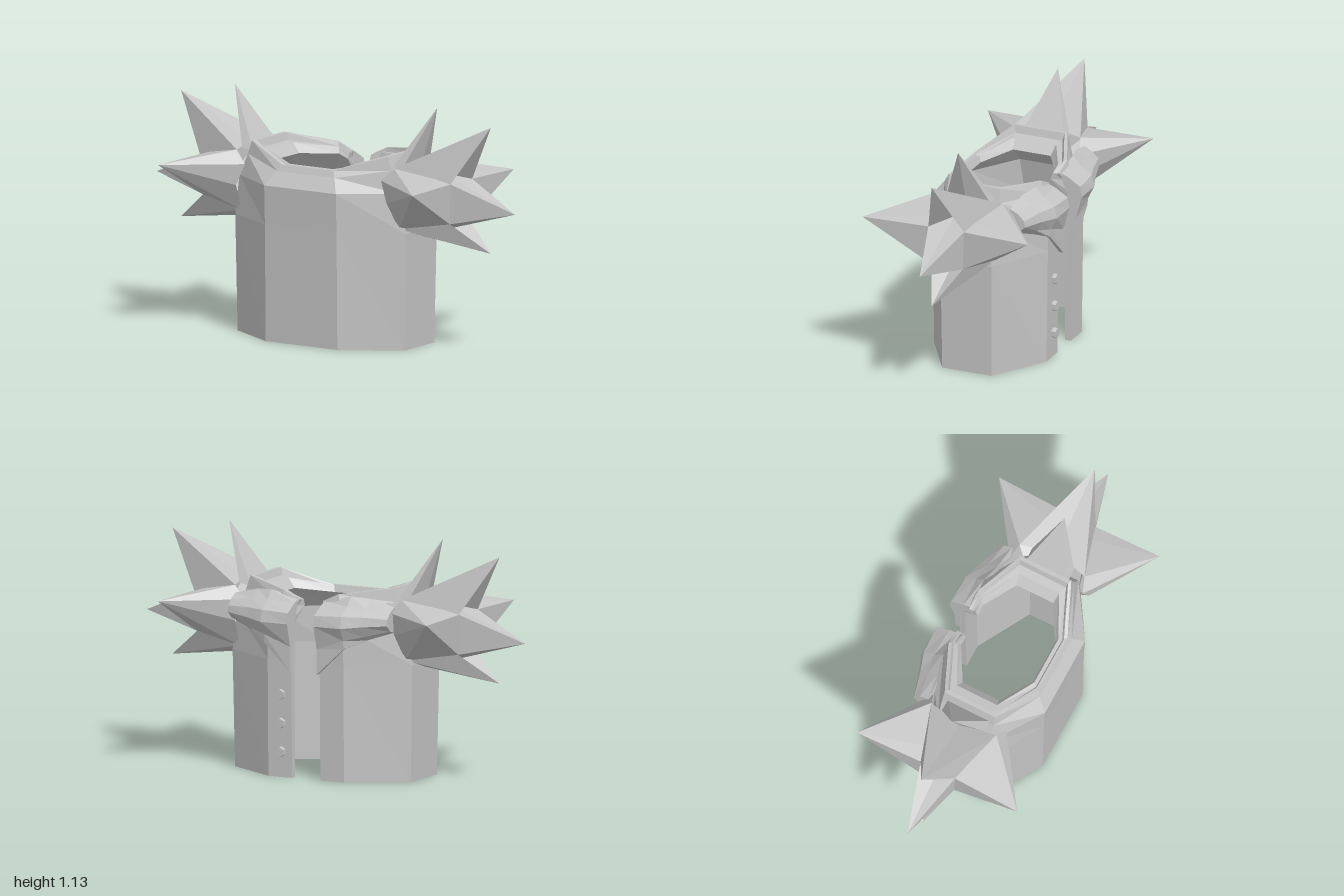
import * as THREE from 'three';

const metal = new THREE.MeshStandardMaterial({ color: 0xc4c4c4, flatShading: true, side: THREE.DoubleSide });
metal.name = 'plain grey';

function meshFrom(tris, name) {
  const g = new THREE.BufferGeometry();
  g.setAttribute('position', new THREE.Float32BufferAttribute(tris.flat(2), 3));
  g.computeVertexNormals();
  const m = new THREE.Mesh(g, metal);
  m.name = name;
  return m;
}

// Skin between cross-sections; each section is a closed loop of points
function loft(sections) {
  const tris = [];
  for (let i = 0; i < sections.length - 1; i++) {
    const p = sections[i], q = sections[i + 1], n = p.length;
    for (let j = 0; j < n; j++) {
      const k = (j + 1) % n;
      tris.push([p[j], p[k], q[k]], [p[j], q[k], q[j]]);
    }
  }
  return tris;
}

// Cap joining the two sides of a folded section
function foldCap(p, flip) {
  const tris = [], n = p.length;
  for (let i = 0; i < Math.floor(n / 2); i++) {
    const a = p[i], b = p[i + 1], c = p[n - 2 - i], d = p[n - 1 - i];
    tris.push([a, b, c], [a, c, d]);
  }
  return flip ? tris.map(([a, b, c]) => [a, c, b]) : tris;
}

// Pyramid sides from a tip to a base loop, wound to face outward
function spike(tip, loop, name) {
  const all = [tip, ...loop].map(p => new THREE.Vector3(...p));
  const mid = all.reduce((s, p) => s.add(p), new THREE.Vector3()).divideScalar(all.length);
  const tris = loop.map((a, i) => {
    const t = [tip, a, loop[(i + 1) % loop.length]];
    const [A, B, C] = t.map(p => new THREE.Vector3(...p));
    const out = B.clone().sub(A).cross(C.clone().sub(A)).dot(B.add(C).multiplyScalar(.5).sub(mid));
    return out < 0 ? [t[0], t[2], t[1]] : t;
  });
  return meshFrom(tris, name);
}

// Shell levels, up the outside, over the collar and down the inside:
// side x, side z, front half width, front z, then y at front, side, back corner, back gap
const LEVELS = [
  [.465, .125, .2, .285, 0, 0, 0, 0],
  [.475, .13, .2, .292, .55, .55, .55, .55],
  [.45, .132, .2, .298, .735, .735, .735, .735],
  [.4, .135, .16, .25, .8, .84, .82, .8],
  [.38, .132, .145, .235, .83, .905, .87, .835],
  [.36, .125, .135, .222, .83, .905, .87, .835],
  [.35, .12, .13, .215, .815, .87, .85, .82],
  [.31, .105, .12, .2, .83, .865, .85, .83],
  [.27, .095, .11, .188, .8, .82, .82, .8],
  [.4, .12, .18, .262, .72, .72, .72, .72],
  [.445, .115, .185, .262, .55, .55, .55, .55],
  [.435, .115, .185, .255, 0, 0, 0, 0],
];

function breastplate() {
  const half = s => [
    LEVELS.map(([, , , zf, , , , yg], i) => [s * (i > 3 && i < 9 ? .06 : .075), yg, -zf]),
    LEVELS.map(([, , xf, zf, , , yb]) => [s * xf, yb, -zf]),
    LEVELS.map(([xs, zs, , , , ys]) => [s * xs, ys, -zs]),
    LEVELS.map(([xs, zs, , , , ys]) => [s * xs, ys, zs]),
    LEVELS.map(([, , xf, zf, yf]) => [s * xf, yf, zf]),
  ];
  const sections = [...half(1), ...half(-1).reverse()];
  const tris = loft(sections);
  tris.push(...foldCap(sections[0], true), ...foldCap(sections[9], false));
  return meshFrom(tris, 'breastplate');
}

// Raised plate over the back of each shoulder, [y, z] sections from gap to arm
function backYoke(s) {
  const rows = [
    [.07, [[.5, -.312], [.62, -.313], [.73, -.343], [.78, -.335], [.82, -.27], [.835, -.23], [.74, -.285], [.5, -.285]]],
    [.21, [[.63, -.308], [.67, -.313], [.73, -.343], [.785, -.33], [.825, -.275], [.868, -.235], [.76, -.27], [.63, -.28]]],
    [.3, [[.67, -.25], [.69, -.28], [.74, -.31], [.785, -.3], [.82, -.26], [.86, -.21], [.77, -.21], [.67, -.22]]],
    [.42, [[.71, -.2], [.72, -.24], [.75, -.275], [.78, -.27], [.81, -.24], [.83, -.2], [.78, -.18], [.71, -.17]]],
  ];
  const sections = rows.map(([x, pts]) => pts.map(([y, z]) => [s * x, y, z]));
  if (s < 0) sections.reverse();
  const tris = loft(sections);
  tris.push(...foldCap(sections[0], true), ...foldCap(sections[3], false));
  return meshFrom(tris, s > 0 ? 'leftBackYoke' : 'rightBackYoke');
}

// Star of spikes on a shoulder, sharing the valley points between them
function shoulderSpikes(s) {
  const g = new THREE.Group();
  g.name = s > 0 ? 'leftShoulderSpikes' : 'rightShoulderSpikes';
  const P = (x, y, z) => [s * x, y, z];
  const upper = P(.6, .83, 0), lower = P(.66, .58, 0);
  const top = P(.48, .87, 0), bottom = P(.43, .53, 0);
  const a = k => P(.7, .8, .09 * k), b = k => P(.69, .61, .08 * k);
  const c = k => P(.44, .86, .17 * k), d = k => P(.44, .57, .13 * k);
  g.add(spike(P(1, .675, 0), [upper, a(1), b(1), lower, b(-1), a(-1)], 'outerSpike'));
  g.add(spike(P(.865, 1.07, 0), [upper, a(1), c(1), top, c(-1), a(-1)], 'upperSpike'));
  g.add(spike(P(.865, .477, 0), [lower, b(1), d(1), bottom, d(-1), b(-1)], 'lowerSpike'));
  for (const k of [1, -1]) {
    g.add(spike(P(.71, .797, .42 * k),
      [upper, c(k), P(.38, .8, .19 * k), P(.42, .7, .205 * k), d(k), b(k), a(k)], k > 0 ? 'frontSpike' : 'backSpike'));
  }
  g.add(spike(P(.565, 1.132, 0), [top, P(.45, .86, .11), P(.39, .85, .11), P(.39, .85, -.11), P(.45, .86, -.11)], 'innerSpike'));
  return g;
}

export function createModel() {
  const model = new THREE.Group();
  model.name = 'spikedArmour';
  model.add(breastplate());
  for (const s of [1, -1]) model.add(backYoke(s), shoulderSpikes(s));

  // Fastening studs down one back edge
  for (const y of [.12, .255, .39]) {
    const stud = new THREE.Mesh(new THREE.CylinderGeometry(.025, .025, .024, 6), metal);
    stud.rotation.x = Math.PI / 2;
    stud.position.set(.13, y, -.298);
    stud.name = 'backStud';
    model.add(stud);
  }
  return model;
}
